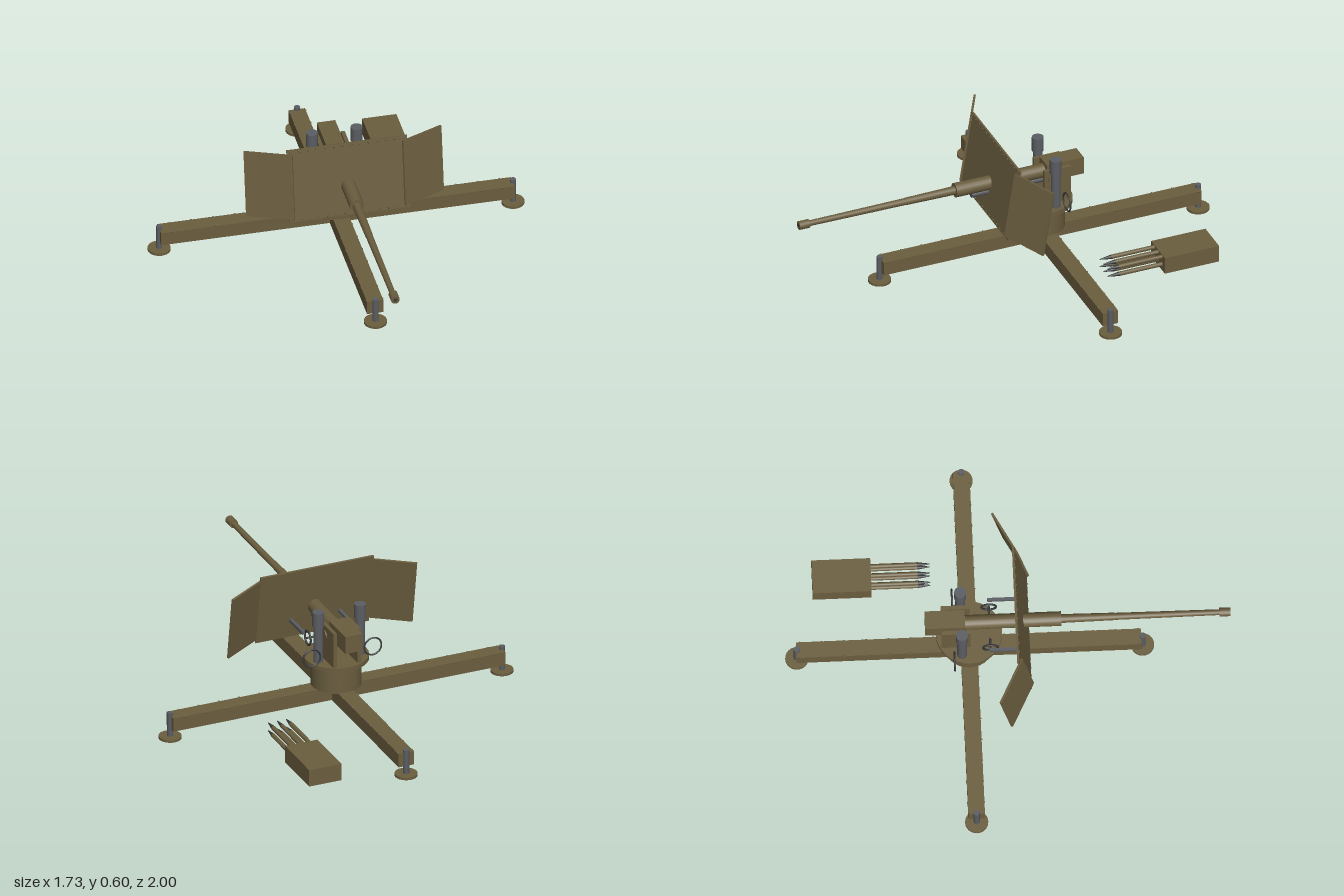
import * as THREE from 'three';

const paint = new THREE.MeshStandardMaterial({ color: 0x6b5e3f });
paint.name = 'olive paint';
const steel = new THREE.MeshStandardMaterial({ color: 0x5a5d62 });
steel.name = 'grey steel';
const dark = new THREE.MeshStandardMaterial({ color: 0x38393b });
dark.name = 'dark steel';

const CZ = -0.175; // z of the turning axis

function add(parent, name, geometry, material, x = 0, y = 0, z = 0) {
  const mesh = new THREE.Mesh(geometry, material);
  mesh.name = name;
  mesh.position.set(x, y, z);
  parent.add(mesh);
  return mesh;
}
const box = (w, h, d) => new THREE.BoxGeometry(w, h, d);
const rod = (r, h, n = 20, r2 = r) => new THREE.CylinderGeometry(r2, r, h, n);
// Cylinder along z from z0 to z1, with a radius for each end
function barrelRod(r0, r1, z0, z1) {
  return rod(r0, z1 - z0, 20, r1).rotateX(Math.PI / 2).translate(0, 0, (z0 + z1) / 2);
}
function group(parent, name, x = 0, y = 0, z = 0) {
  const g = new THREE.Group();
  g.name = name;
  g.position.set(x, y, z);
  parent.add(g);
  return g;
}

const rivetGeometry = new THREE.SphereGeometry(0.005, 6, 4);
function rivets(parent, points) {
  points.forEach(([x, y, z]) => add(parent, 'rivet', rivetGeometry, paint, x, y, z));
}

function buildBase(root) {
  const base = group(root, 'crossBase');
  add(base, 'sideBeam', box(1.63, 0.066, 0.075), paint, 0, 0.088, CZ);
  add(base, 'longBeam', box(0.075, 0.066, 1.55), paint, 0, 0.0885, CZ);

  // Rivets along the top edges of the four arms
  const points = [];
  for (const side of [-1, 1]) {
    for (let d = 0.16; d < 0.78; d += 0.1) {
      const e = side * 0.036;
      points.push([d, 0.12, CZ + e], [-d, 0.12, CZ + e], [e, 0.12, CZ + d], [e, 0.12, CZ - d]);
    }
  }
  rivets(base, points);

  // Levelling jacks with round pads
  for (const [x, z] of [[0.815, CZ], [-0.815, CZ], [0, 0.605], [0, -0.948]]) {
    const jack = group(base, 'levellingJack', x, 0, z);
    add(jack, 'jackScrew', rod(0.014, 0.12, 12), steel, 0, 0.076, 0);
    add(jack, 'footPad', rod(0.052, 0.012, 24), paint, 0, 0.014, 0);
  }
}

function buildMount(root) {
  const mount = group(root, 'mount', 0, 0, CZ);
  add(mount, 'pedestal', rod(0.115, 0.13, 32), paint, 0, 0.183, 0);
  add(mount, 'turntable', rod(0.149, 0.02, 32), paint, 0, 0.253, 0);
  for (const s of [-1, 1]) {
    add(mount, 'cheekPlate', box(0.018, 0.17, 0.13), paint, s * 0.06, 0.347, -0.06);
    // Spring towers with wider caps
    add(mount, 'springTower', rod(0.022, 0.18), steel, s * 0.103, 0.352, -0.035);
    add(mount, 'springCap', rod(0.027, 0.07), steel, s * 0.103, 0.475, -0.035);
    // Laying and elevating wheels
    add(mount, 'rearHandwheel', new THREE.TorusGeometry(0.042, 0.004, 8, 24), dark, s * 0.15, 0.302, -0.07);
    const wheel = add(mount, 'sideHandwheel', new THREE.TorusGeometry(0.033, 0.005, 8, 24), dark, s * 0.097, 0.32, 0.093);
    wheel.rotation.y = Math.PI / 2;
    add(mount, 'wheelShaft', rod(0.005, 0.05, 8).rotateZ(Math.PI / 2), dark, s * 0.078, 0.32, 0.093);
    // Arms that hold the shield
    add(mount, 'shieldStrut', box(0.014, 0.014, 0.145), steel, s * 0.12, 0.35, 0.16);
  }
}

function buildGun(root) {
  const gun = group(root, 'gun', 0, 0.397, 0);
  add(gun, 'breechBlock', box(0.085, 0.085, 0.18), paint, 0, 0.006, -0.283);
  add(gun, 'barrelSleeve', barrelRod(0.033, 0.033, -0.2, 0.24), paint);
  add(gun, 'rearBarrel', barrelRod(0.02, 0.017, 0.24, 0.48), paint);
  add(gun, 'frontBarrel', barrelRod(0.016, 0.013, 0.48, 0.96), paint);
  add(gun, 'muzzle', barrelRod(0.02, 0.02, 0.95, 1), paint);
  add(gun, 'bore', new THREE.CircleGeometry(0.009, 16), dark, 0, 0, 1.001);
  add(gun, 'recoilCylinder', barrelRod(0.017, 0.017, -0.19, 0.16), steel, 0, -0.04, 0);
  add(gun, 'trunnion', rod(0.022, 0.15).rotateZ(Math.PI / 2), paint, 0, -0.01, -0.21);
}

function buildShield(root) {
  const shield = group(root, 'shield', 0, 0.428, 0.063);
  shield.rotation.x = -0.16;
  add(shield, 'centrePlate', box(0.555, 0.356, 0.01), paint);
  const points = [];
  for (let i = 0; i < 14; i++) {
    const x = -0.26 + i * 0.04;
    points.push([x, 0.168, 0.005], [x, -0.168, 0.005]);
  }
  rivets(shield, points);

  // Wings swept back from the centre plate
  for (const s of [-1, 1]) {
    const wing = group(shield, 'wing', s * 0.254, -0.002, 0.014);
    wing.rotation.y = s * 0.485;
    add(wing, 'wingPlate', box(0.226, 0.32, 0.01), paint, s * 0.113, 0, 0);
    const edge = [];
    for (let i = 0; i < 7; i++) edge.push([s * 0.012, -0.14 + i * 0.0467, -0.005]);
    rivets(wing, edge);
  }
}

function buildAmmunition(root) {
  const ammo = group(root, 'ammunition', 0.36, 0, 0);
  add(ammo, 'ammoCrate', box(0.158, 0.082, 0.265), paint, 0, 0.043, -0.732);
  for (const y of [0.033, 0.072]) {
    for (const x of [-0.044, 0, 0.044]) {
      const round = group(ammo, 'round', x, y, 0);
      add(round, 'casing', barrelRod(0.01, 0.01, -0.61, -0.39), paint);
      add(round, 'shellTip', barrelRod(0.01, 0.002, -0.39, -0.335), dark);
    }
  }
}

export function createModel() {
  const root = new THREE.Group();
  root.name = 'fieldGun';
  buildBase(root);
  buildMount(root);
  buildGun(root);
  buildShield(root);
  buildAmmunition(root);
  return root;
}
